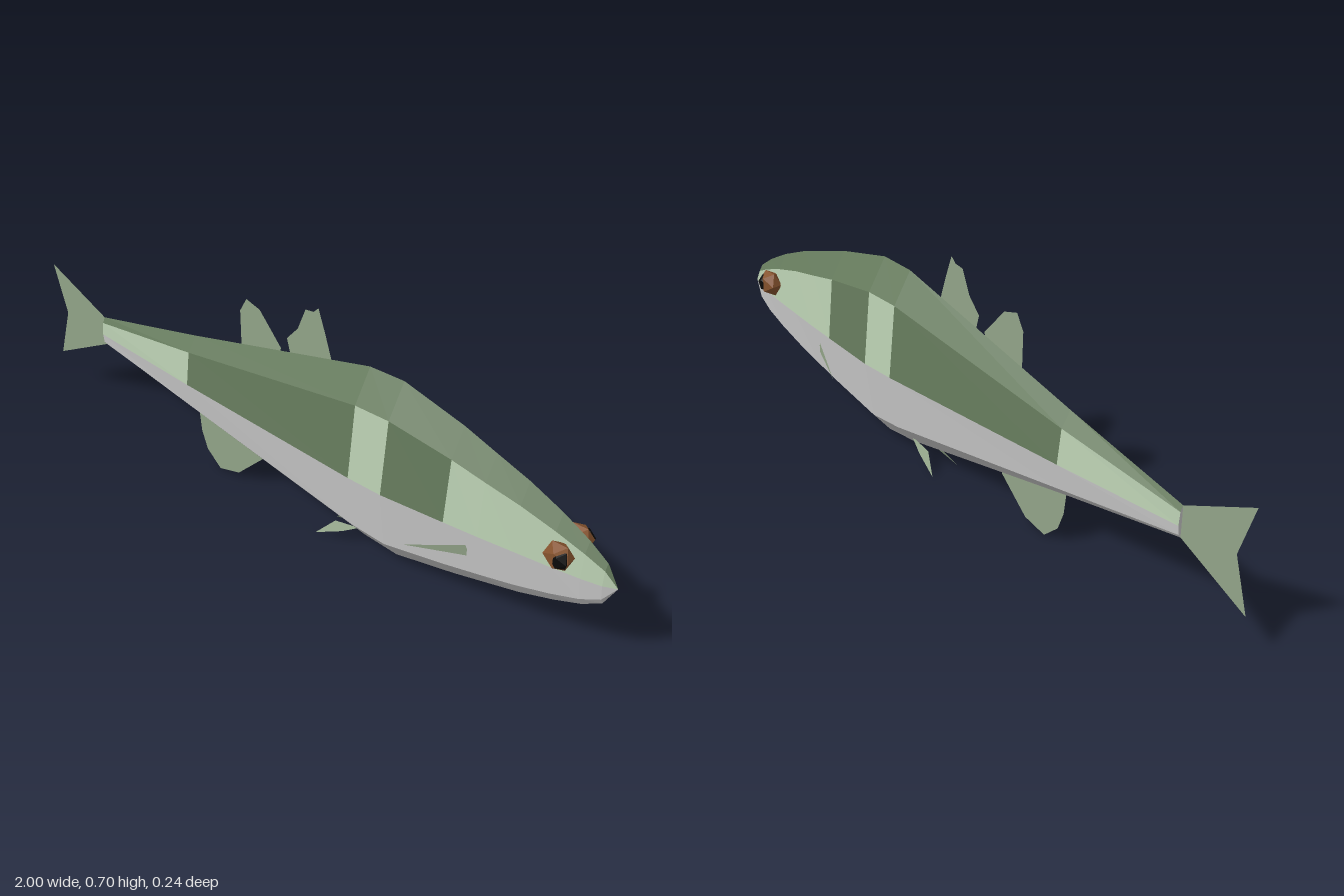
import * as THREE from 'three';

const DARK = 0x64795b, LIGHT = 0xb8cdb0, FIN = 0x92a488, GREY = 0xcccccc;
const MID = 0.29; // height of the line between back and belly

// Body stations from tail to nose: x, top y, bottom y, half width
const stations = [
  [-0.785, 0.345, 0.25, 0.012], [-0.4, 0.437, 0.175, 0.043],
  [0.23, 0.6, 0.045, 0.083], [0.34, 0.603, 0.035, 0.085],
  [0.53, 0.553, 0.075, 0.069], [0.63, 0.517, 0.1, 0.06],
  [0.73, 0.482, 0.125, 0.049], [0.83, 0.437, 0.158, 0.038],
  [0.91, 0.392, 0.19, 0.027], [0.965, 0.352, 0.225, 0.016],
  [1.0, 0.29, 0.29, 0],
];

const material = (color) => new THREE.MeshStandardMaterial({
  color, flatShading: true, side: THREE.DoubleSide,
});

function addMesh(group, name, geometry, color) {
  const mesh = new THREE.Mesh(geometry, material(color));
  mesh.name = name;
  group.add(mesh);
  return mesh;
}

function trianglesGeometry(positions) {
  const g = new THREE.BufferGeometry();
  g.setAttribute('position', new THREE.Float32BufferAttribute(positions, 3));
  g.computeVertexNormals();
  return g;
}

// Corner of the eight-sided section at station i; corner 0 is the top
function corner(i, j) {
  const [x, top, bottom, w] = stations[i];
  const a = (j % 8) * Math.PI / 4, c = Math.cos(a);
  return [x, MID + c * (c > 0 ? top - MID : MID - bottom), w * Math.sin(a)];
}

// Skin between two stations, over chosen sides of the section
function skin(from, to, sides) {
  const p = [];
  for (let i = from; i < to; i++) {
    for (const j of sides) {
      const a = corner(i, j), b = corner(i, j + 1);
      const c = corner(i + 1, j + 1), d = corner(i + 1, j);
      p.push(...a, ...b, ...c);
      if (i + 1 < stations.length - 1) p.push(...a, ...c, ...d);
    }
  }
  return trianglesGeometry(p);
}

// Flat fin in the middle plane
function flatFin(points) {
  return new THREE.ShapeGeometry(new THREE.Shape(points.map(([x, y]) => new THREE.Vector2(x, y))));
}

// Fan of triangles over 3D points
function fan(points) {
  const p = [];
  for (let i = 1; i < points.length - 1; i++) p.push(...points[0], ...points[i], ...points[i + 1]);
  return trianglesGeometry(p);
}

export function createModel() {
  const fish = new THREE.Group();
  fish.name = 'fish';
  const last = stations.length - 1;

  // Body: dark back, banded flanks, grey belly
  addMesh(fish, 'back', skin(0, last, [0, 7]), DARK);
  addMesh(fish, 'belly', skin(0, last, [2, 3, 4, 5]), GREY);
  const bands = [
    ['tailFlank', 0, 1, LIGHT], ['rearDarkBand', 1, 2, DARK], ['lightBand', 2, 3, LIGHT],
    ['frontDarkBand', 3, 4, DARK], ['headFlank', 4, last, LIGHT],
  ];
  for (const [name, from, to, color] of bands) addMesh(fish, name, skin(from, to, [1, 6]), color);
  addMesh(fish, 'tailEnd', fan([7, 6, 5, 4, 3, 2, 1, 0].map((j) => corner(0, j))), GREY);

  // Fins in the middle plane
  addMesh(fish, 'tailFin', flatFin([
    [-0.785, 0.345], [-1, 0.45], [-0.955, 0.295], [-1, 0.135], [-0.785, 0.25],
  ]), FIN);
  addMesh(fish, 'rearDorsalFin', flatFin([
    [-0.22, 0.46], [-0.222, 0.59], [-0.198, 0.635], [-0.15, 0.62], [-0.108, 0.57], [-0.075, 0.53], [-0.08, 0.5],
  ]), FIN);
  addMesh(fish, 'frontDorsalFin', flatFin([
    [-0.035, 0.5], [-0.053, 0.57], [-0.015, 0.615], [0.012, 0.684], [0.04, 0.688],
    [0.056, 0.705], [0.08, 0.635], [0.1, 0.57], [0.1, 0.53],
  ]), FIN);
  addMesh(fish, 'analFin', flatFin([
    [-0.4, 0.2], [-0.39, 0.11], [-0.37, 0.053], [-0.32, 0.005], [-0.245, 0.025],
    [-0.19, 0.08], [-0.15, 0.12], [-0.15, 0.15],
  ]), FIN);

  // Paired fins and eyes
  for (const s of [1, -1]) {
    const side = s > 0 ? 'front' : 'back';
    addMesh(fish, side + 'PectoralFin', fan([
      [0.6, 0.245, s * 0.055], [0.45, 0.205, s * 0.12], [0.6, 0.21, s * 0.055],
    ]), FIN);
    const pelvic = [[0.22, 0.072], [0.14, 0.06], [0.09, 0.008], [0.17, 0.043]];
    addMesh(fish, side + 'PelvicFin', fan(
      pelvic.map(([x, y]) => [x, y, s * (0.02 + (0.06 - y) * 0.52)]),
    ), FIN);

    const eye = addMesh(fish, side + 'Eye', new THREE.IcosahedronGeometry(0.042, 0), 0x86532e);
    eye.position.set(0.855, 0.345, s * 0.046);
    eye.scale.z = 0.75;
    const pupil = addMesh(fish, side + 'Pupil', new THREE.IcosahedronGeometry(0.029, 0), 0x0a0a0a);
    pupil.position.set(0.865, 0.345, s * 0.055);
    pupil.scale.z = 0.85;
  }
  return fish;
}
